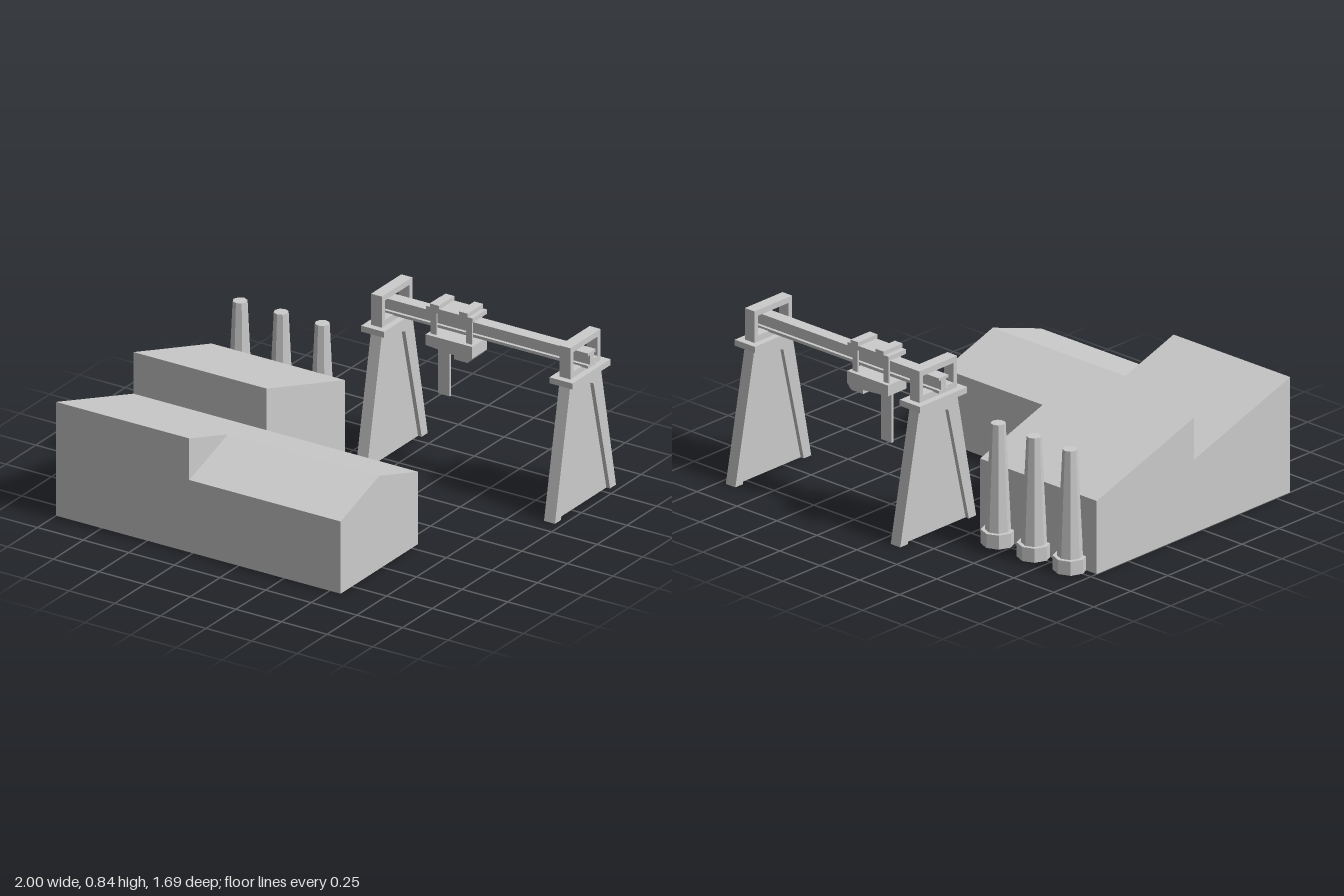
import * as THREE from 'three';

const mat = new THREE.MeshStandardMaterial({ color: 0xcccccc, flatShading: true, side: THREE.DoubleSide });

function add(parent, name, geo, x = 0, y = 0, z = 0) {
  const m = new THREE.Mesh(geo, mat);
  m.name = name;
  m.position.set(x, y, z);
  parent.add(m);
  return m;
}

// Box given by its limits on each axis
function box(parent, name, [x0, x1], [y0, y1], [z0, z1]) {
  return add(parent, name, new THREE.BoxGeometry(x1 - x0, y1 - y0, z1 - z0),
    (x0 + x1) / 2, (y0 + y1) / 2, (z0 + z1) / 2);
}

const toShape = pts => new THREE.Shape(pts.map(p => new THREE.Vector2(...p)));

// Extrusion centred on its depth
function slab(shape, depth) {
  return new THREE.ExtrudeGeometry(shape, { depth, bevelEnabled: false }).translate(0, 0, -depth / 2);
}

// Open-bottomed shell: a (z, y) roof line swept between x0 and x1, plus upright end walls
function sweep(x0, x1, line) {
  const v = [];
  for (let i = 0; i < line.length - 1; i++) {
    const [za, ya] = line[i], [zb, yb] = line[i + 1];
    v.push(x0, ya, za, x1, ya, za, x1, yb, zb, x0, ya, za, x1, yb, zb, x0, yb, zb);
  }
  const g = new THREE.BufferGeometry();
  g.setAttribute('position', new THREE.Float32BufferAttribute(v, 3));
  g.computeVertexNormals();
  return g;
}

// Flat wall in the z-y plane, facing +x (dir 1) or -x (dir -1)
function wall(parent, name, x, pts, dir) {
  const g = new THREE.ShapeGeometry(toShape(pts.map(([z, y]) => [-dir * z, y])));
  g.rotateY(dir * Math.PI / 2);
  add(parent, name, g, x);
}

const LOW = 0.365, HIGH = 0.575, RIDGE = 0.47;
const ZF = 0.845, ZM = 0.195, ZB = -0.46, ZR = 0.52;
const XL = -1, XM = -0.27, XR = 0.56;

function hall() {
  const g = new THREE.Group();
  g.name = 'hall';
  // Sawtooth wing and gabled wing
  add(g, 'sawtoothShell', sweep(XL, XM, [[ZF, 0], [ZF, HIGH], [ZM, LOW], [ZM, HIGH], [ZB, LOW], [ZB, 0]]));
  add(g, 'gabledShell', sweep(XM, XR, [[ZF, 0], [ZF, LOW], [ZR, RIDGE], [ZM, LOW], [ZM, 0]]));
  // End walls
  wall(g, 'outerEndWall', XL, [[ZF, 0], [ZF, HIGH], [ZM, LOW], [ZM, HIGH], [ZB, LOW], [ZB, 0]], -1);
  wall(g, 'gableEndWall', XR, [[ZF, 0], [ZF, LOW], [ZR, RIDGE], [ZM, LOW], [ZM, 0]], 1);
  wall(g, 'rearInnerWall', XM, [[ZM, 0], [ZM, HIGH], [ZB, LOW], [ZB, 0]], 1);
  wall(g, 'roofStepWall', XM, [[ZF, LOW], [ZF, HIGH], [ZR, RIDGE]], 1);
  return g;
}

function chimney(x) {
  const pts = [[0.08, 0], [0.08, 0.07], [0.06, 0.07], [0.035, 0.6], [0, 0.6]];
  const m = new THREE.Mesh(new THREE.LatheGeometry(pts.map(p => new THREE.Vector2(...p)), 8), mat);
  m.name = 'chimney';
  m.position.set(x, 0, -0.5);
  return m;
}

// Crane support: A-frame with recessed panel, cap plate and window frame for the beam
function support(x) {
  const g = new THREE.Group();
  g.name = 'craneSupport';
  const arch = [[-0.206, 0], [-0.068, 0.585], [0, 0.615], [0.068, 0.585], [0.206, 0]];
  const frame = toShape([[-0.256, 0], ...arch, [0.256, 0], [0.127, 0.65], [-0.127, 0.65]]);
  add(g, 'legFrame', slab(frame, 0.06).rotateY(Math.PI / 2));
  add(g, 'legPanel', slab(toShape(arch), 0.02).rotateY(Math.PI / 2));
  box(g, 'capPlate', [-0.063, 0.063], [0.65, 0.68], [-0.16, 0.16]);
  const rim = toShape([[-0.127, 0.68], [0.127, 0.68], [0.127, 0.837], [-0.127, 0.837]]);
  rim.holes.push(new THREE.Path([[-0.102, 0.71], [-0.102, 0.808], [0.102, 0.808], [0.102, 0.71]]
    .map(p => new THREE.Vector2(...p))));
  add(g, 'beamFrame', slab(rim, 0.06).rotateY(Math.PI / 2));
  g.position.x = x;
  return g;
}

function crane() {
  const g = new THREE.Group();
  g.name = 'gantryCrane';
  for (const x of [-0.097, 0.935]) g.add(support(x));

  // I-beam
  const beam = [-0.16, 1];
  box(g, 'beamTopFlange', beam, [0.768, 0.782], [-0.032, 0.032]);
  box(g, 'beamWeb', beam, [0.72, 0.768], [-0.016, 0.016]);
  box(g, 'beamBottomFlange', beam, [0.706, 0.72], [-0.032, 0.032]);

  // Trolley riding on the beam
  const t = new THREE.Group();
  t.name = 'trolley';
  box(t, 'trolleyPlate', [0.13, 0.385], [0.792, 0.815], [-0.06, 0.06]);
  for (const x of [0.18, 0.338]) {
    box(t, 'crossBar', [x - 0.024, x + 0.024], [0.815, 0.835], [-0.065, 0.065]);
  }
  for (const x of [0.16, 0.354]) {
    for (const s of [-1, 1]) {
      const z = s * 0.037;
      box(t, 'strap', [x - 0.016, x + 0.016], [0.67, 0.792], [z - 0.005, z + 0.005]);
    }
  }
  const cab = toShape([[0.13, 0.618], [0.285, 0.605], [0.285, 0.585], [0.36, 0.585],
    [0.385, 0.612], [0.385, 0.672], [0.13, 0.672]]);
  add(t, 'hoistCab', slab(cab, 0.125));
  box(t, 'hangingBar', [0.16, 0.225], [0.36, 0.62], [-0.006, 0.006]);
  g.add(t);

  g.position.z = -0.588;
  return g;
}

export function createModel() {
  const model = new THREE.Group();
  model.name = 'factory';
  model.add(hall(), crane());
  for (const x of [-0.87, -0.645, -0.42]) model.add(chimney(x));
  return model;
}
